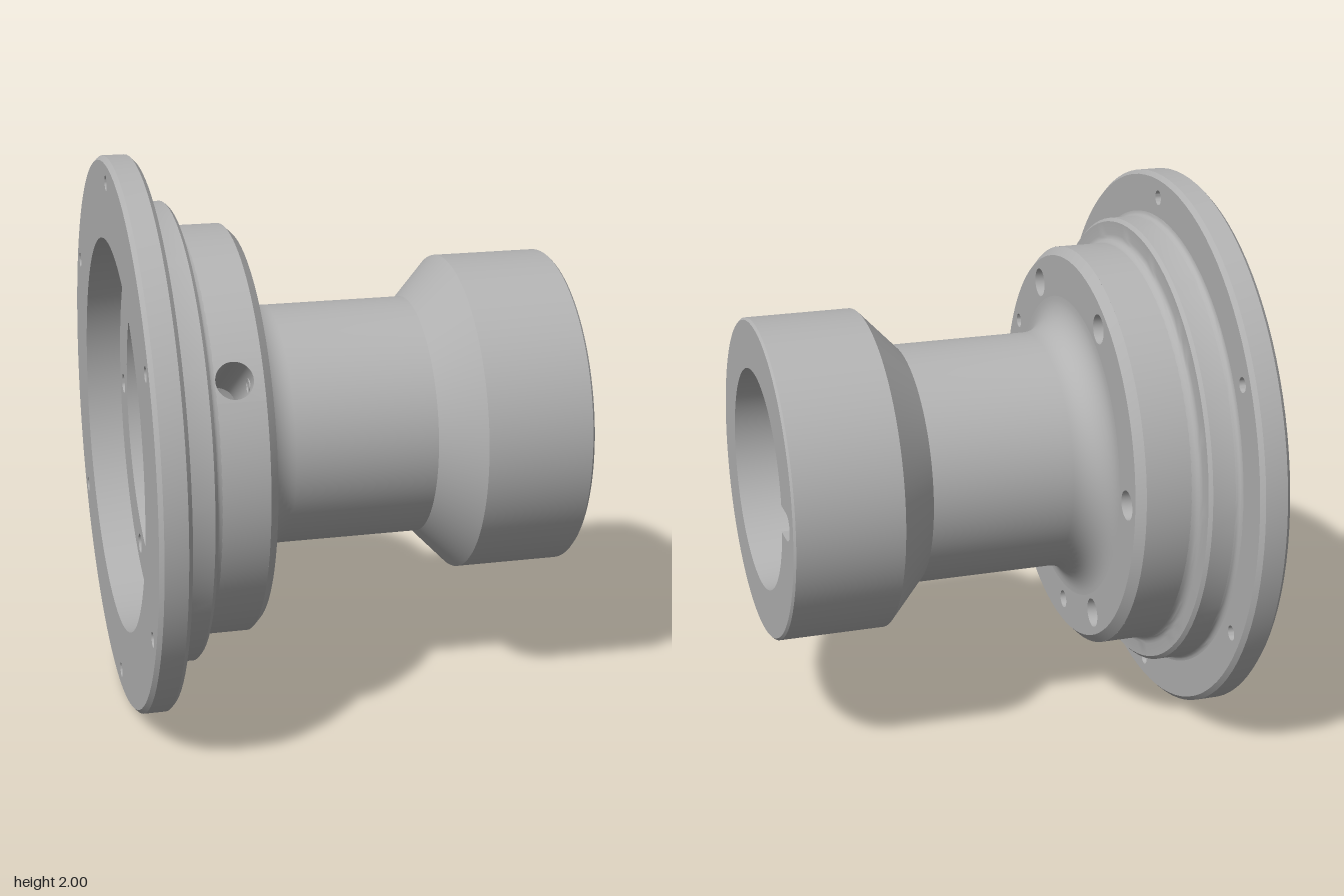
import * as THREE from 'three';
import { toCreasedNormals } from 'three/addons/utils/BufferGeometryUtils.js';

const SEG = 96;
const TAU = Math.PI * 2;

export function createModel() {
  const model = new THREE.Group();
  model.name = 'flangedHub';
  const axis = new THREE.Group(); // everything is turned about this horizontal axis
  axis.name = 'hubAxis';
  axis.position.y = 1;
  model.add(axis);

  const steel = new THREE.MeshStandardMaterial({ color: 0xb2b2b2, side: THREE.DoubleSide });
  steel.name = 'machinedSteel';

  const add = (name, geo) => {
    const mesh = new THREE.Mesh(geo, steel);
    mesh.name = name;
    axis.add(mesh);
  };

  // Turned surface from [x, radius] points, optionally leaving a gap of half-angle `gap` around angle `at`
  const turn = (name, pts, at = 0, gap = 0) => {
    const geo = new THREE.LatheGeometry(pts.map(([x, r]) => new THREE.Vector2(r, x)), SEG, at + gap, TAU - 2 * gap);
    geo.rotateZ(-Math.PI / 2);
    add(name, toCreasedNormals(geo, 0.5));
  };

  // Points of a quarter round, from angle a0 to a1 about (cx, cr)
  const round = (cx, cr, rad, a0, a1, n = 8) => Array.from({ length: n + 1 }, (_, i) => {
    const a = a0 + (a1 - a0) * i / n;
    return [cx + rad * Math.cos(a), cr + rad * Math.sin(a)];
  });

  const circle = (u, v, r, n = 28) => Array.from({ length: n }, (_, i) =>
    new THREE.Vector2(u + r * Math.cos(i / n * TAU), v + r * Math.sin(i / n * TAU)));

  // Flat face square to the axis (u = -z, v = y)
  const face = (name, x, outline, holes) => {
    const shape = new THREE.Shape(outline);
    holes.forEach((h) => shape.holes.push(new THREE.Path(h)));
    const geo = new THREE.ShapeGeometry(shape);
    geo.rotateY(Math.PI / 2);
    geo.translate(x, 0, 0);
    add(name, geo);
  };

  // Wall following a closed outline along the axis
  const wall = (name, pts, x0, x1) => {
    const pos = [], idx = [], n = pts.length;
    pts.forEach((p, i) => {
      pos.push(x0, p.y, -p.x, x1, p.y, -p.x);
      const a = 2 * i, b = 2 * ((i + 1) % n);
      idx.push(a, a + 1, b, b, a + 1, b + 1);
    });
    const geo = new THREE.BufferGeometry();
    geo.setAttribute('position', new THREE.Float32BufferAttribute(pos, 3));
    geo.setIndex(idx);
    add(name, toCreasedNormals(geo, 0.6));
  };

  // Hole positions
  const ringOf = (r, start) => Array.from({ length: 6 }, (_, i) => {
    const a = start + i * TAU / 6;
    return [r * Math.cos(a), r * Math.sin(a)];
  });
  const rimHoles = ringOf(0.92, Math.PI / 6);
  const boltHoles = ringOf(0.63, 0);
  const pinHole = circle(-0.56, 0.325, 0.026);
  const drainHole = circle(0, -0.625, 0.033);

  // Flange rim, its two drilled faces and hole walls
  turn('flangeRim', [[-0.81, 0.985], [-0.795, 1], [-0.715, 1], [-0.7, 0.985]]);
  const rimCut = rimHoles.map(([u, v]) => circle(u, v, 0.027));
  face('flangeBackFace', -0.81, circle(0, 0, 0.985, SEG), [circle(0, 0, 0.71, SEG), ...rimCut]);
  face('flangeFrontFace', -0.7, circle(0, 0, 0.985, SEG), [circle(0, 0, 0.85, SEG), ...rimCut]);
  rimCut.forEach((c) => wall('flangeHole', c, -0.81, -0.7));

  // Stepped shoulder up to the hub wall
  turn('shoulder', [[-0.7, 0.85], ...round(-0.68, 0.85, 0.02, Math.PI, Math.PI * 1.5, 4),
    [-0.597, 0.83], [-0.585, 0.818], ...round(-0.555, 0.77, 0.03, Math.PI, Math.PI * 1.5, 5)]);

  // Hub wall with a window for the radial port
  const portX = -0.49, portR = 0.065, portAngle = Math.PI / 6;
  const portHub = { R: 0.74, x0: -0.557, x1: -0.39, half: 0.1 };
  const portBore = { R: 0.37, x0: -0.57, x1: -0.4, half: 0.22 };
  turn('hubWall', [[portHub.x0, 0.74], [portHub.x1, 0.74]], -portAngle, portHub.half);
  turn('hubChamfer', [[-0.39, 0.74], [-0.36, 0.71]]);
  turn('innerRing', [[portBore.x1, 0.37], [portBore.x0, 0.37]], -portAngle, portBore.half);

  // Point on a cylinder of radius R near the port
  const onCylinder = (R, x, turnBy) =>
    [x, R * Math.sin(portAngle + turnBy), R * Math.cos(portAngle + turnBy)];
  const strip = (name, loopA, loopB) => {
    const n = loopA.length, idx = [];
    for (let i = 0; i < n; i++) {
      const j = (i + 1) % n;
      idx.push(i, j, n + i, j, n + j, n + i);
    }
    const geo = new THREE.BufferGeometry();
    geo.setAttribute('position', new THREE.Float32BufferAttribute([...loopA, ...loopB].flat(), 3));
    geo.setIndex(idx);
    geo.computeVertexNormals();
    add(name, geo);
  };
  const portAngles = Array.from({ length: 40 }, (_, i) => i / 40 * TAU);
  const portLoop = (R) => portAngles.map((t) =>
    onCylinder(R, portX + portR * Math.cos(t), Math.asin(portR * Math.sin(t) / R)));
  const windowLoop = ({ R, x0, x1, half }) => portAngles.map((t) => {
    const m = Math.max(Math.abs(Math.cos(t)), Math.abs(Math.sin(t)));
    const f = (Math.cos(t) / m + 1) / 2;
    return onCylinder(R, x0 + (x1 - x0) * f, half * Math.sin(t) / m);
  });
  strip('portOuterSurround', portLoop(portHub.R), windowLoop(portHub));
  strip('portInnerSurround', portLoop(portBore.R), windowLoop(portBore));
  strip('radialPort', portLoop(portBore.R), portLoop(portHub.R));

  // Drilled hub faces, front and in the back recess
  const wide = boltHoles.map(([u, v]) => circle(u, v, 0.053));
  const narrow = boltHoles.map(([u, v]) => circle(u, v, 0.037));
  const inner = circle(0, 0, 0.56, SEG);
  face('hubFrontFace', -0.36, circle(0, 0, 0.71, SEG), [inner, ...wide, pinHole, drainHole]);
  face('recessFloor', -0.68, circle(0, 0, 0.71, SEG), [inner, ...narrow, pinHole, drainHole]);
  boltHoles.forEach((_, i) => {
    wall('boltCounterbore', wide[i], -0.43, -0.36);
    face('boltSeat', -0.43, wide[i], [narrow[i]]);
    wall('boltHole', narrow[i], -0.68, -0.43);
  });
  wall('drainHole', drainHole, -0.68, -0.36);
  wall('pinHoleFront', pinHole, -0.43, -0.36);
  wall('pinHoleBack', pinHole, -0.68, -0.55);

  // Neck with its large fillet, flaring into the collar
  turn('neckAndCollar', [...round(-0.235, 0.56, 0.125, Math.PI, Math.PI * 1.5, 12),
    [0.28, 0.435], [0.42, 0.58], [0.802, 0.58], [0.81, 0.572]]);

  // Tapered bore; the mouth is open where the key slot cuts it
  const slotX = 0.64, mouthR = 0.4, slotR = 0.389, halfW = 0.05;
  const gap = Math.asin(halfW / mouthR);
  turn('boreMouth', [[0.81, mouthR], [slotX, slotR]], Math.PI, gap);
  turn('taperedBore', [[slotX, slotR], [-0.385, 0.32], [-0.4, 0.335], [-0.4, 0.37]]);
  turn('innerRecess', [[-0.57, 0.37], [-0.6, 0.4], [-0.6, 0.54], [-0.68, 0.54], [-0.68, 0.56]]);
  turn('recessWall', [[-0.68, 0.71], [-0.81, 0.71]]);

  // Collar end face with the round-ended slot
  const slotEnd = Array.from({ length: 17 }, (_, i) => {
    const a = -Math.PI / 2 + i / 16 * Math.PI;
    return new THREE.Vector2(0.47 + halfW * Math.cos(a), halfW * Math.sin(a));
  });
  const mouth = Array.from({ length: SEG + 1 }, (_, i) => {
    const a = gap + (TAU - 2 * gap) * i / SEG;
    return new THREE.Vector2(mouthR * Math.cos(a), mouthR * Math.sin(a));
  });
  face('collarEndFace', 0.81, circle(0, 0, 0.572, SEG), [[...mouth, ...slotEnd]]);

  // Slot sides: open wall made from short straight pieces
  const slotSide = [new THREE.Vector2(0.385, -halfW), ...slotEnd, new THREE.Vector2(0.385, halfW)];
  const back = slotSide.slice(1, -1).reverse();
  wall('keySlotSides', [...slotSide, ...back], slotX, 0.81);

  // Key seated in the slot, with a small screw hole
  const keyOutline = [new THREE.Vector2(0.365, -halfW), ...slotEnd, new THREE.Vector2(0.365, halfW)];
  const screw = circle(0.455, 0, 0.02, 20);
  face('keyFace', slotX, keyOutline, [screw]);
  wall('keySides', keyOutline, 0.5, slotX);
  face('keyBack', 0.5, keyOutline, []);
  wall('keyScrewHole', screw, 0.58, slotX);
  face('keyScrewHoleFloor', 0.58, screw, []);

  return model;
}
